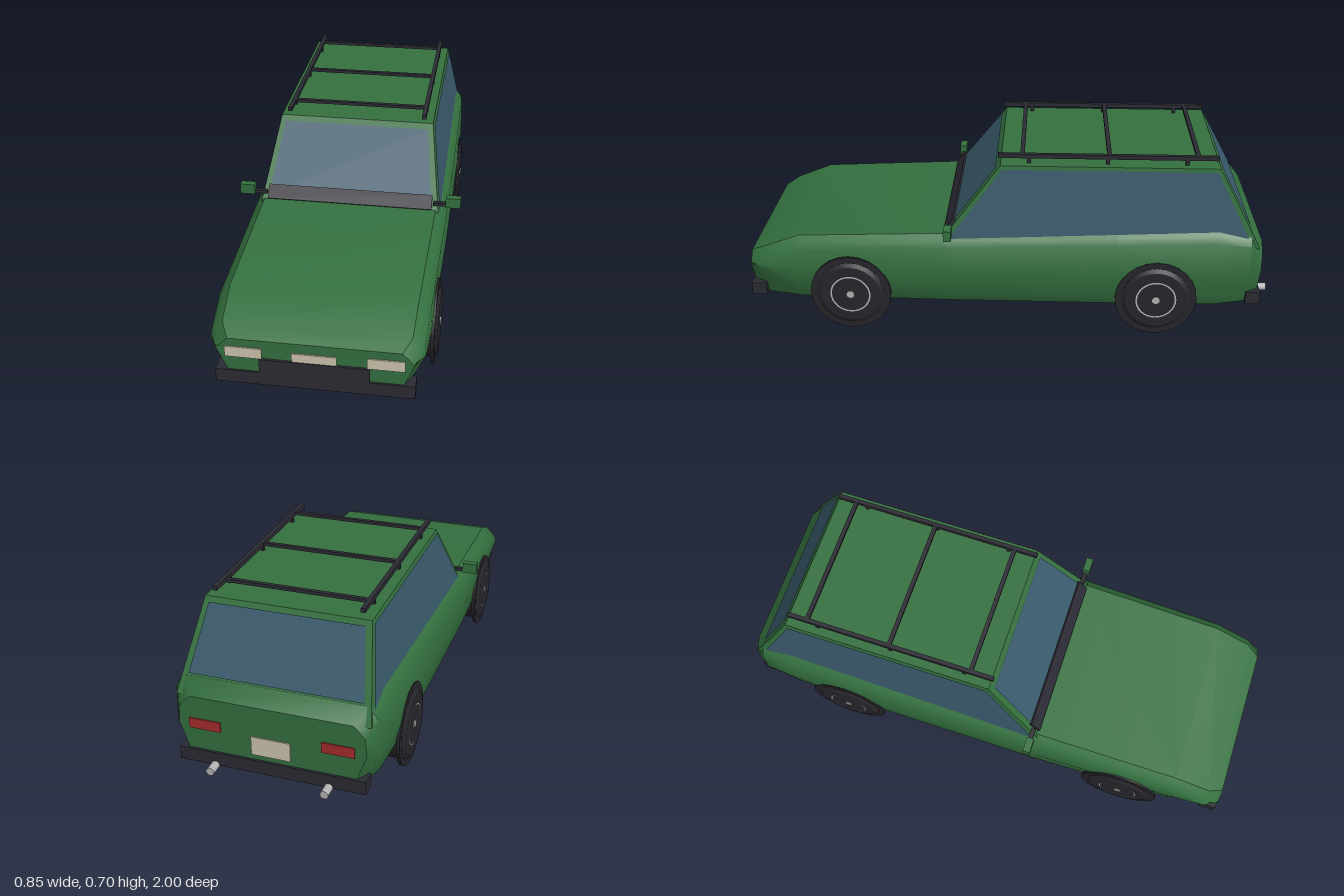
import * as THREE from 'three';
import { toCreasedNormals } from 'three/addons/utils/BufferGeometryUtils.js';

const mat = (name, color, side = THREE.FrontSide) => {
  const m = new THREE.MeshStandardMaterial({ color, side });
  m.name = name;
  return m;
};

export function createModel() {
  const car = new THREE.Group();
  car.name = 'stationWagon';
  const green = mat('greenPaint', 0x34703f);
  const glass = mat('glass', 0x3a5a6c, THREE.DoubleSide);
  const trim = mat('darkTrim', 0x2b2b33);
  const rubber = mat('rubber', 0x26262b);
  const cream = mat('creamLamp', 0xcdc6ae);
  const red = mat('redLamp', 0xa62c2c);
  const metal = mat('metal', 0xb4b4b4);

  const add = (name, geo, m, x = 0, y = 0, z = 0, parent = car) => {
    const mesh = new THREE.Mesh(geo, m);
    mesh.name = name;
    mesh.position.set(x, y, z);
    parent.add(mesh);
    return mesh;
  };
  // Box given by its limits on each axis
  const box = (name, m, x0, x1, y0, y1, z0, z1) =>
    add(name, new THREE.BoxGeometry(Math.abs(x1 - x0), y1 - y0, Math.abs(z1 - z0)), m,
      (x0 + x1) / 2, (y0 + y1) / 2, (z0 + z1) / 2);

  // Lower body: cross-sections [z, half width, bottom, top, bottom tuck]
  const sections = [
    [0.992, 0.335, 0.12, 0.29, 0.05],
    [0.94, 0.362, 0.115, 0.318, 0.05],
    [0.8, 0.368, 0.11, 0.372, 0.02],
    [0.24, 0.375, 0.11, 0.395, 0.01],
    [-0.4, 0.375, 0.11, 0.418, 0.01],
    [-0.78, 0.373, 0.11, 0.434, 0.02],
    [-0.9, 0.365, 0.115, 0.42, 0.045],
    [-0.947, 0.335, 0.12, 0.368, 0.04],
  ];
  const pos = [], idx = [];
  for (const [z, w, b, t, tuck] of sections) {
    const half = [[w - 0.03 - tuck * 0.5, b], [w - tuck * 0.8, b + 0.05], [w, b + 0.14],
      [w - 0.005, t - 0.045], [w - 0.024, t - 0.021], [w - 0.045, t]];
    const ring = [...half, ...half.map(([x, y]) => [-x, y]).reverse()];
    ring.forEach(([x, y]) => pos.push(x, y, z));
  }
  const n = 12, last = (sections.length - 1) * n;
  for (let i = 0; i < last; i += n) {
    for (let j = 0; j < n; j++) {
      const a = i + j, b = i + (j + 1) % n;
      idx.push(a, a + n, b, b, a + n, b + n);
    }
  }
  for (let j = 1; j < n - 1; j++) {
    idx.push(0, j, j + 1, last, last + j + 1, last + j);
  }
  const bodyGeo = new THREE.BufferGeometry();
  bodyGeo.setAttribute('position', new THREE.Float32BufferAttribute(pos, 3));
  bodyGeo.setIndex(idx);
  add('body', toCreasedNormals(bodyGeo, 0.65), green);

  // Cabin: four sloping walls and a flat roof
  const v = (x, y, z) => new THREE.Vector3(x, y, z);
  const base = [v(-0.345, 0.36, 0.266), v(0.345, 0.36, 0.266), v(0.345, 0.36, -0.932), v(-0.345, 0.36, -0.932)];
  const top = [v(-0.295, 0.66, 0.035), v(0.295, 0.66, 0.035), v(0.295, 0.66, -0.77), v(-0.295, 0.66, -0.77)];
  const quad = (p) => {
    const g = new THREE.BufferGeometry().setFromPoints([p[0], p[1], p[2], p[0], p[2], p[3]]);
    g.computeVertexNormals();
    return g;
  };
  // Panel on a wall, inset by fractions and lifted outwards
  const panel = (p, u, v0, v1) => {
    const out = p[1].clone().sub(p[0]).cross(p[3].clone().sub(p[0])).normalize().multiplyScalar(0.004);
    const at = (s, t) => p[0].clone().lerp(p[1], s).lerp(p[3].clone().lerp(p[2], s), t).add(out);
    return quad([at(u, v0), at(1 - u, v0), at(1 - u, v1), at(u, v1)]);
  };
  const windows = [
    ['windshield', 0.035, 0.15, 0.935], ['leftWindow', 0.02, 0, 0.955],
    ['rearWindow', 0.035, 0.22, 0.94], ['rightWindow', 0.02, 0, 0.955],
  ];
  windows.forEach(([name, u, v0, v1], k) => {
    const m = (k + 1) % 4;
    const wall = [base[k], base[m], top[m], top[k]];
    add('cabinWall', quad(wall), green);
    add(name, panel(wall, u, v0, v1), glass);
  });
  add('roof', quad(top), green);
  const cowl = add('cowl', new THREE.BoxGeometry(0.63, 0.056, 0.02), trim, 0, 0.418, 0.223);
  cowl.rotation.x = -0.655;

  // Nose and tail details
  box('frontBumper', trim, -0.335, 0.335, 0.115, 0.165, 0.94, 0.998);
  box('grille', trim, -0.185, 0.185, 0.165, 0.22, 0.98, 1);
  box('frontPlate', cream, -0.075, 0.075, 0.22, 0.253, 0.988, 0.997);
  box('rearBumper', trim, -0.335, 0.335, 0.115, 0.165, -0.9, -0.955);
  box('rearPlate', cream, -0.07, 0.07, 0.185, 0.255, -0.944, -0.952);

  // Roof rack
  for (const z of [-0.69, -0.365, -0.045]) box('rackCrossbar', trim, -0.26, 0.26, 0.683, 0.695, z - 0.008, z + 0.008);

  // Wheel profiles, turned about the axle
  const tyreGeo = toCreasedNormals(new THREE.LatheGeometry(
    [[0, -0.045], [0.12, -0.045], [0.13, -0.036], [0.13, 0.036], [0.115, 0.045], [0, 0.045]]
      .map(([x, y]) => new THREE.Vector2(x, y)), 24), 0.5);
  const discGeo = new THREE.CylinderGeometry(0.154, 0.154, 0.012, 24);
  const ringGeo = new THREE.RingGeometry(0.071, 0.077, 32).rotateX(-Math.PI / 2);
  const hubGeo = new THREE.CylinderGeometry(0.015, 0.015, 0.006, 12);

  for (const s of [-1, 1]) {
    box('headlight', cream, s * 0.175, s * 0.3, 0.22, 0.26, 0.988, 0.997);
    box('tailLight', red, s * 0.18, s * 0.295, 0.247, 0.285, -0.944, -0.952);
    const pipe = add('exhaustPipe', new THREE.CylinderGeometry(0.015, 0.015, 0.1, 12), metal, s * 0.205, 0.116, -0.95);
    pipe.rotation.x = Math.PI / 2;

    box('mirrorArm', trim, s * 0.32, s * 0.373, 0.411, 0.424, 0.216, 0.232);
    box('mirror', green, s * 0.367, s * 0.424, 0.41, 0.45, 0.212, 0.24);

    box('rackRail', trim, s * 0.253, s * 0.269, 0.68, 0.696, -0.765, 0.045);
    for (const z of [-0.65, -0.36, -0.07]) box('rackFoot', trim, s * 0.255, s * 0.267, 0.655, 0.685, z - 0.007, z + 0.007);

    for (const z of [0.605, -0.555]) {
      const wheel = new THREE.Group();
      wheel.name = 'wheel';
      wheel.position.set(s * 0.34, 0.154, z);
      wheel.rotation.z = -s * Math.PI / 2;
      add('tyre', tyreGeo, rubber, 0, 0, 0, wheel);
      add('tyreRim', discGeo, rubber, 0, 0.029, 0, wheel);
      add('wheelRing', ringGeo, metal, 0, 0.047, 0, wheel);
      add('hub', hubGeo, metal, 0, 0.046, 0, wheel);
      car.add(wheel);
    }
  }
  return car;
}
